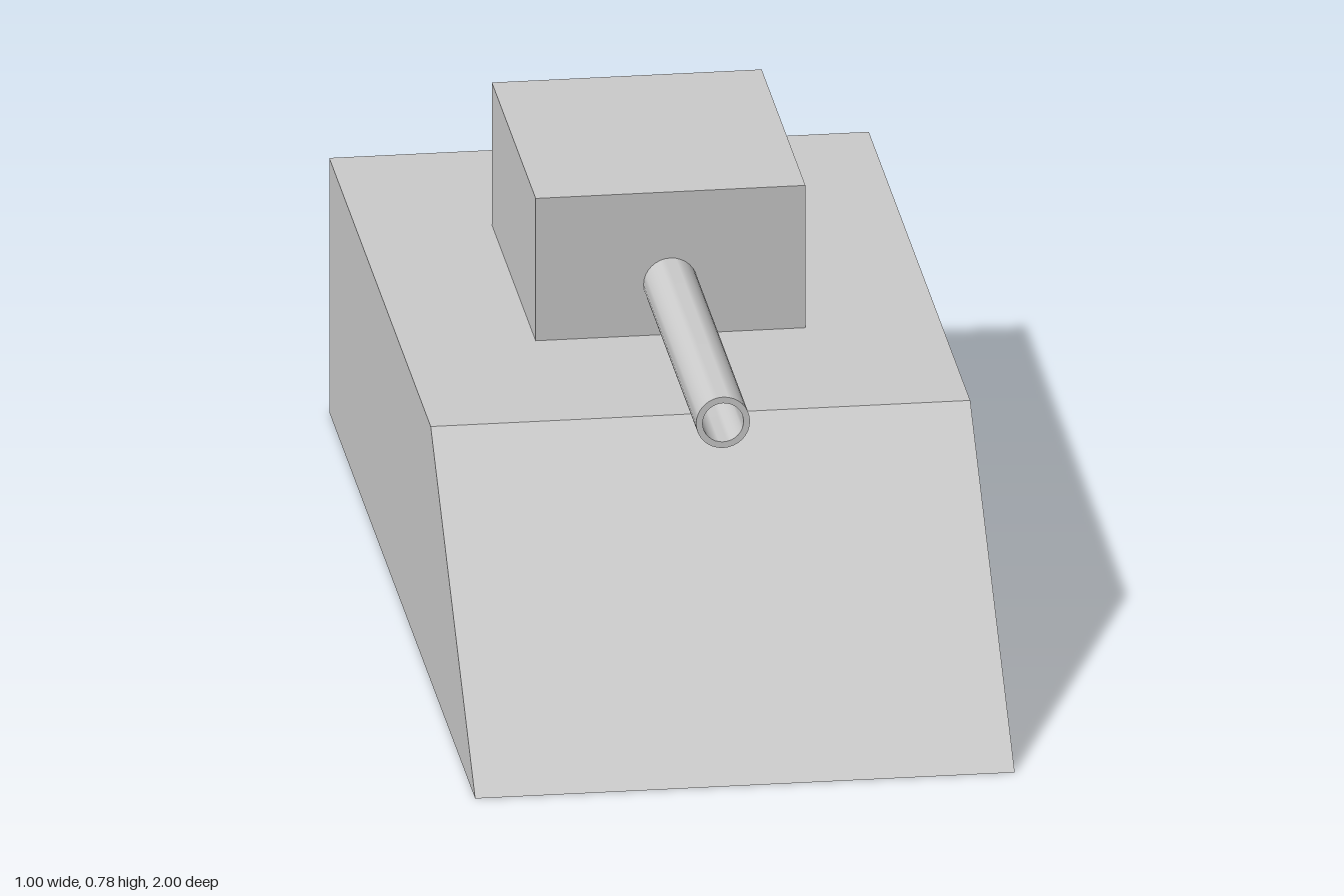
import * as THREE from 'three';
import { toCreasedNormals } from 'three/addons/utils/BufferGeometryUtils.js';

export function createModel() {
  const model = new THREE.Group();
  const grey = new THREE.MeshStandardMaterial({ color: 0xcccccc });

  const add = (name, geometry) => {
    const mesh = new THREE.Mesh(geometry, grey);
    mesh.name = name;
    model.add(mesh);
    return mesh;
  };

  // Hull: side profile (z, y) with a sloped front, extruded across the width
  const profile = new THREE.Shape(
    [[-1, 0], [1, 0], [0.39, 0.5], [-1, 0.5]].map(([z, y]) => new THREE.Vector2(z, y))
  );
  const hull = new THREE.ExtrudeGeometry(profile, { depth: 1, bevelEnabled: false });
  hull.translate(0, 0, -0.5).rotateY(-Math.PI / 2);
  add('hull', hull);

  // Turret: plain box set behind the middle of the deck
  add('turret', new THREE.BoxGeometry(0.5, 0.28, 0.6)).position.set(0, 0.64, -0.32);

  // Gun barrel: hollow tube from the turret face, with a flat muzzle ring
  const length = 0.72;
  const wall = [[0.05, 0], [0.05, length], [0.038, length], [0.038, 0]]
    .map(([r, y]) => new THREE.Vector2(r, y));
  const barrel = toCreasedNormals(new THREE.LatheGeometry(wall, 32), Math.PI / 5);
  barrel.rotateX(Math.PI / 2);
  add('gunBarrel', barrel).position.set(0, 0.6, -0.02);

  return model;
}
